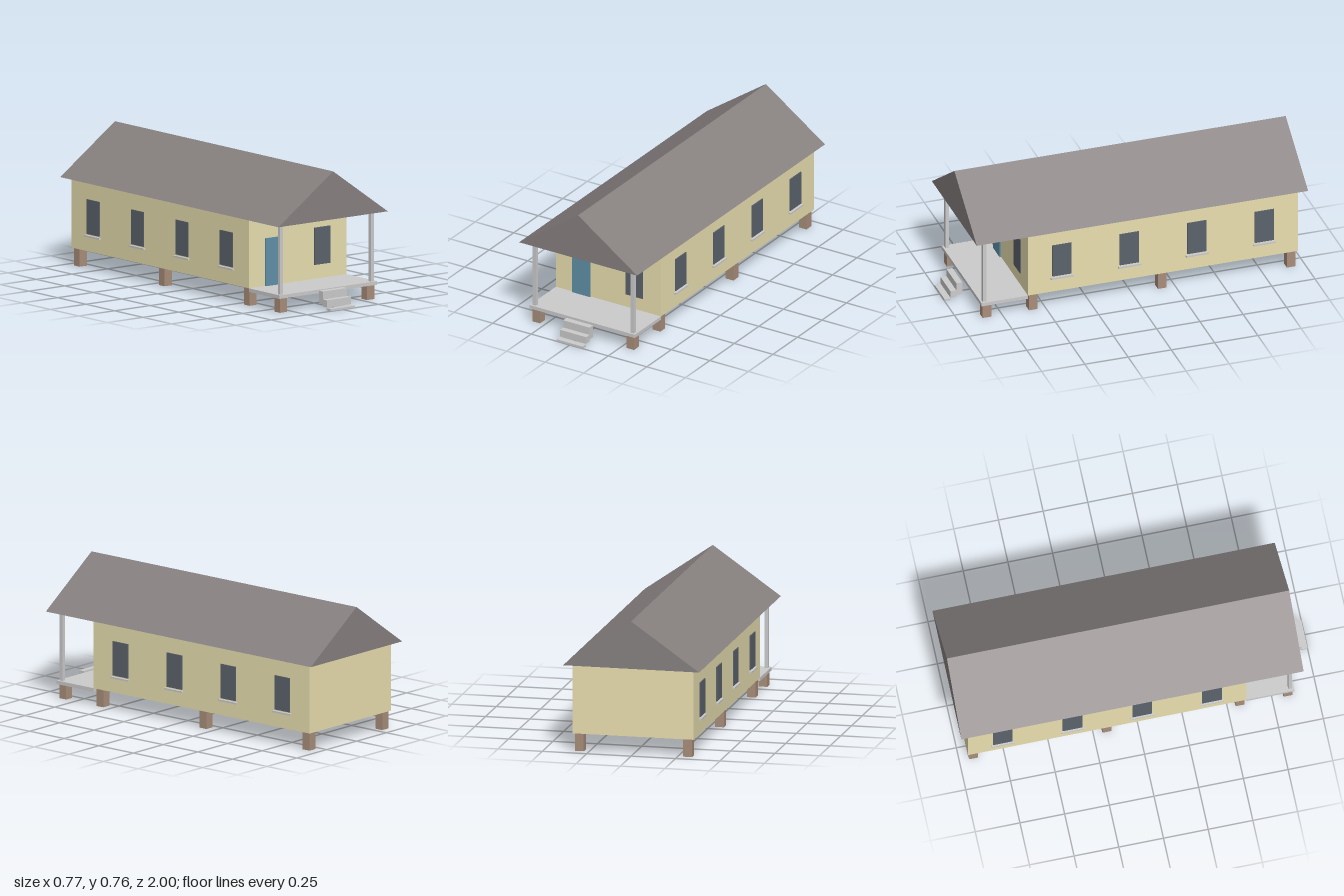
import * as THREE from 'three';

const mat = (color) => new THREE.MeshStandardMaterial({ color });

export function createModel() {
  const house = new THREE.Group();
  house.name = 'house';

  const wallMat = mat(0xe9dfb0);
  const roofMat = mat(0x878180);
  const doorMat = mat(0x6090a8);
  const glassMat = mat(0x5b636b);
  const pierMat = mat(0xa88e7a);
  const greyMat = mat(0xcccccc);

  // Box given by its minimum and maximum on each axis
  const box = (name, material, [x0, x1], [y0, y1], [z0, z1]) => {
    const mesh = new THREE.Mesh(new THREE.BoxGeometry(x1 - x0, y1 - y0, z1 - z0), material);
    mesh.position.set((x0 + x1) / 2, (y0 + y1) / 2, (z0 + z1) / 2);
    mesh.name = name;
    house.add(mesh);
  };
  // The same box on the left (+x) and mirrored on the right
  const pair = (name, material, [x0, x1], y, z) => {
    box(name + 'Left', material, [x0, x1], y, z);
    box(name + 'Right', material, [-x1, -x0], y, z);
  };

  const halfWidth = 0.341, floor = 0.1, eaves = 0.49;
  const back = -0.955, front = 0.605;

  // Main body
  box('walls', wallMat, [-halfWidth, halfWidth], [floor, eaves], [back, front]);

  // Gabled roof, a solid prism covering body and porch
  const gable = new THREE.Shape([
    new THREE.Vector2(-0.383, eaves),
    new THREE.Vector2(0.383, eaves),
    new THREE.Vector2(0, 0.757),
  ]);
  const roof = new THREE.Mesh(
    new THREE.ExtrudeGeometry(gable, { depth: 1.915, bevelEnabled: false }), roofMat);
  roof.position.z = -1;
  roof.name = 'roof';
  house.add(roof);

  // Porch deck and posts
  box('porchDeck', greyMat, [-halfWidth, halfWidth], [0.08, floor], [front, 0.873]);
  pair('porchPost', greyMat, [0.307, 0.328], [floor, eaves], [0.841, 0.862]);

  // Foundation piers
  pair('porchPier', pierMat, [0.28, 0.33], [0, 0.08], [0.813, 0.863]);
  for (const z of [0.57, -0.175, -0.92]) {
    pair('pier', pierMat, [0.28, 0.33], [0, floor], [z - 0.025, z + 0.025]);
  }

  // Front steps: bottom, top and back edge of each
  for (const [y0, y1, z0] of [[0.028, 0.1, 0.897], [0.016, 0.056, 0.931], [0, 0.012, 0.965]]) {
    box('step', greyMat, [-0.085, 0.085], [y0, y1], [z0, z0 + 0.035]);
  }

  // Front door and window
  box('door', doorMat, [-0.23, -0.115], [floor, 0.366], [front, 0.614]);
  box('frontWindow', glassMat, [0.115, 0.225], [0.178, 0.385], [front, 0.612]);

  // Side windows with sills
  for (let i = 0; i < 4; i++) {
    const z = 0.41 - 0.39 * i;
    pair('sideWindow', glassMat, [halfWidth, 0.347], [0.197, 0.39], [z - 0.055, z + 0.055]);
    pair('windowSill', greyMat, [halfWidth, 0.355], [0.181, 0.191], [z - 0.065, z + 0.065]);
  }

  return house;
}
